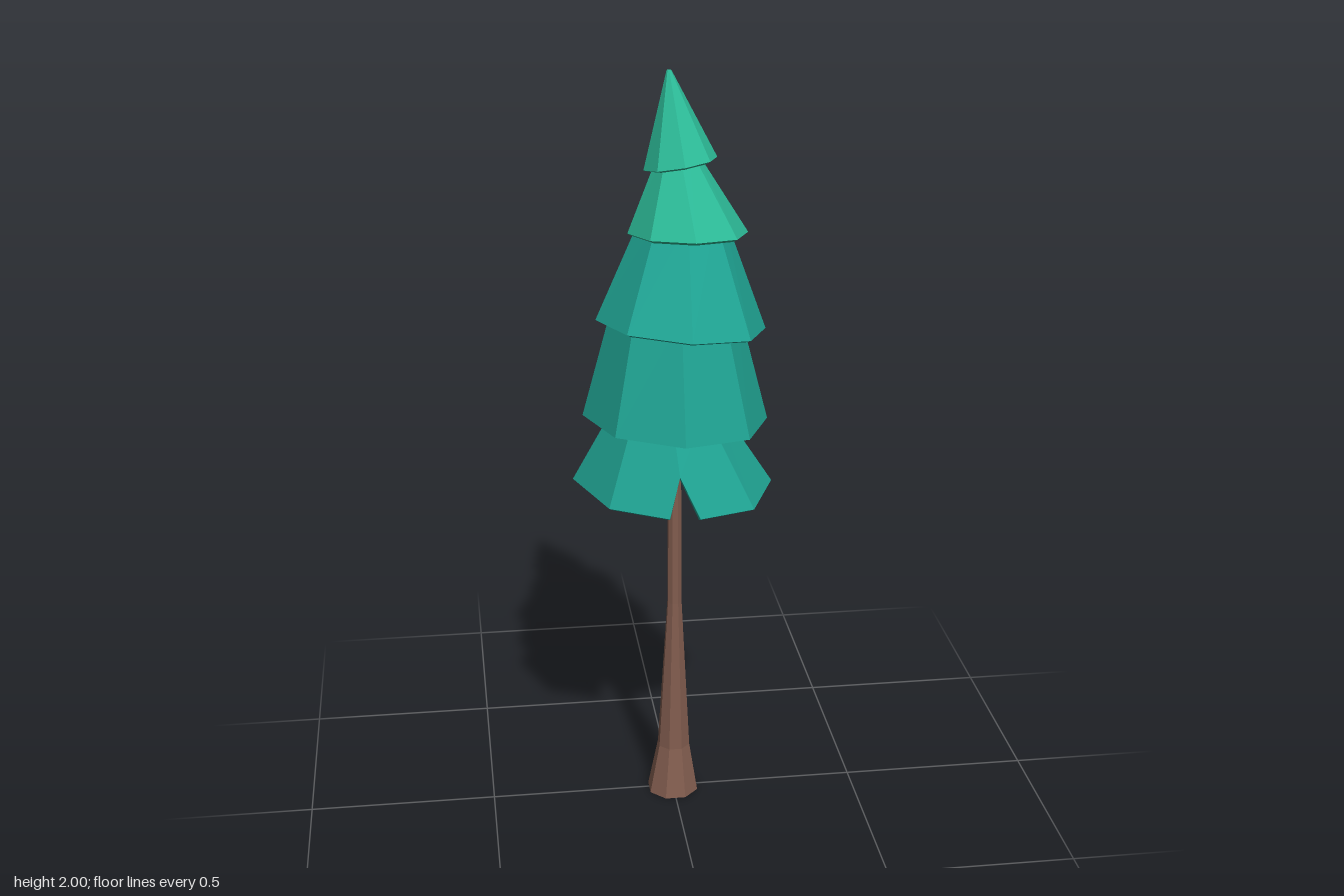
import * as THREE from 'three';

const SIDES = 8;
const THICKNESS = 0.016;

// Octagonal ring; slopeX / slopeZ tilt it about its centre
function ring({ x = 0, y, z = 0, r, turn = 0, slopeX = 0, slopeZ = 0 }) {
  return Array.from({ length: SIDES }, (_, i) => {
    const a = (i / SIDES) * Math.PI * 2 + turn;
    const dx = r * Math.cos(a), dz = r * Math.sin(a);
    return new THREE.Vector3(x + dx, y + slopeX * dx + slopeZ * dz, z + dz);
  });
}

// Build flat faces from outward-ordered convex polygons
function facetMesh(name, polygons, material) {
  const pos = [];
  for (const p of polygons) {
    for (let i = 1; i < p.length - 1; i++) {
      for (const v of [p[0], p[i], p[i + 1]]) pos.push(v.x, v.y, v.z);
    }
  }
  const geo = new THREE.BufferGeometry();
  geo.setAttribute('position', new THREE.Float32BufferAttribute(pos, 3));
  geo.computeVertexNormals();
  const mesh = new THREE.Mesh(geo, material);
  mesh.name = name;
  return mesh;
}

const flip = (polygon) => [...polygon].reverse();

// Lower corners of a tier; the slit corner becomes flap, tip, flap
function corners(low, high, notch) {
  return low.map((p, i) => {
    if (!notch || notch.at !== i) return [p];
    const prev = low[(i + SIDES - 1) % SIDES], next = low[(i + 1) % SIDES];
    return [p.clone().lerp(prev, notch.width), p.clone().lerp(high[i], notch.depth), p.clone().lerp(next, notch.width)];
  });
}

// Side faces from the lower corners up to the high ring
function skirt(lower, high) {
  return high.map((p, i) => {
    const j = (i + 1) % SIDES;
    return [p, high[j], ...flip(lower[j].slice(0, 2)), ...flip(lower[i].slice(-2))];
  });
}

// Downward-facing strip joining an outer loop to an inner loop
function strip(outer, inner) {
  return outer.map((p, i) => {
    const j = (i + 1) % outer.length;
    return [p, outer[j], inner[j], inner[i]];
  });
}

// Foliage shell: outer skirt, inner skirt offset square to the slope, and both rims
function shell(low, high, notch) {
  const dr = low.r - high.r, dy = high.y - low.y, len = Math.hypot(dr, dy);
  const inset = (o) => ({
    ...o,
    r: Math.max(0.002, o.r - (THICKNESS * dy) / len),
    y: o.y - (THICKNESS * dr) / len,
  });
  const outTop = ring(high), inTop = ring(inset(high));
  const outLow = corners(ring(low), outTop, notch);
  const inLow = corners(ring(inset(low)), inTop, notch);
  return [
    ...skirt(outLow, outTop),
    ...skirt(inLow, inTop).map(flip),
    ...strip(outLow.flat(), inLow.flat()),
    ...strip(outTop, inTop).map(flip),
  ];
}

export function createModel() {
  const bark = new THREE.MeshStandardMaterial({ color: 0x825d4f });
  bark.name = 'bark brown';
  const teal = new THREE.MeshStandardMaterial({ color: 0x20a695 });
  teal.name = 'lower needle teal';
  const green = new THREE.MeshStandardMaterial({ color: 0x2cba97 });
  green.name = 'upper needle green';

  const tree = new THREE.Group();
  tree.name = 'pineTree';

  // Trunk: flared foot tapering to a slim pole
  const trunkRings = [
    { x: -0.001, y: 0, z: 0.005, r: 0.071 },
    { x: 0.002, y: 0.14, z: 0.003, r: 0.045 },
    { x: 0.003, y: 0.58, z: 0.013, r: 0.02 },
    { x: 0.003, y: 1.15, z: 0.014, r: 0.017 },
  ].map((o) => ring({ ...o, turn: Math.PI / 8 }));
  const trunkFaces = [trunkRings[0], flip(trunkRings[3])];
  for (let i = 0; i < 3; i++) {
    trunkFaces.push(...skirt(corners(trunkRings[i]), trunkRings[i + 1]));
  }
  tree.add(facetMesh('trunk', trunkFaces, bark));

  // Hollow, tilted foliage tiers from bottom to top
  const tiers = [
    {
      name: 'bottomTier', material: teal,
      low: { y: 0.93, r: 0.263, slopeX: -0.06, slopeZ: -0.03 },
      high: { x: -0.024, y: 1.17, z: 0.04, r: 0.125 },
      notch: { at: 2, depth: 0.42, width: 0.21 },
    },
    {
      name: 'lowerTier', material: teal,
      low: { x: 0.004, y: 1.115, z: 0.021, r: 0.24, turn: 0.02, slopeX: -0.057, slopeZ: 0.02 },
      high: { x: 0, y: 1.44, z: 0.04, r: 0.155, turn: 0.02 },
      notch: { at: 6, depth: 0.4, width: 0.22 },
    },
    {
      name: 'middleTier', material: teal,
      low: { x: 0.016, y: 1.371, z: 0.039, r: 0.217, slopeX: -0.09, slopeZ: 0.08 },
      high: { x: 0.022, y: 1.66, z: 0.023, r: 0.1 },
    },
    {
      name: 'upperTier', material: green,
      low: { x: 0.035, y: 1.604, z: 0.025, r: 0.152, slopeX: -0.02, slopeZ: 0.09 },
      high: { x: 0.01, y: 1.82, z: 0.003, r: 0.039 },
    },
    {
      name: 'topTier', material: green,
      low: { x: 0.018, y: 1.775, z: 0.007, r: 0.092, slopeX: 0.16, slopeZ: 0.11 },
      high: { x: -0.006, y: 2, z: -0.025, r: 0.006 },
    },
  ];
  for (const { name, material, low, high, notch } of tiers) {
    tree.add(facetMesh(name, shell(low, high, notch), material));
  }
  return tree;
}
